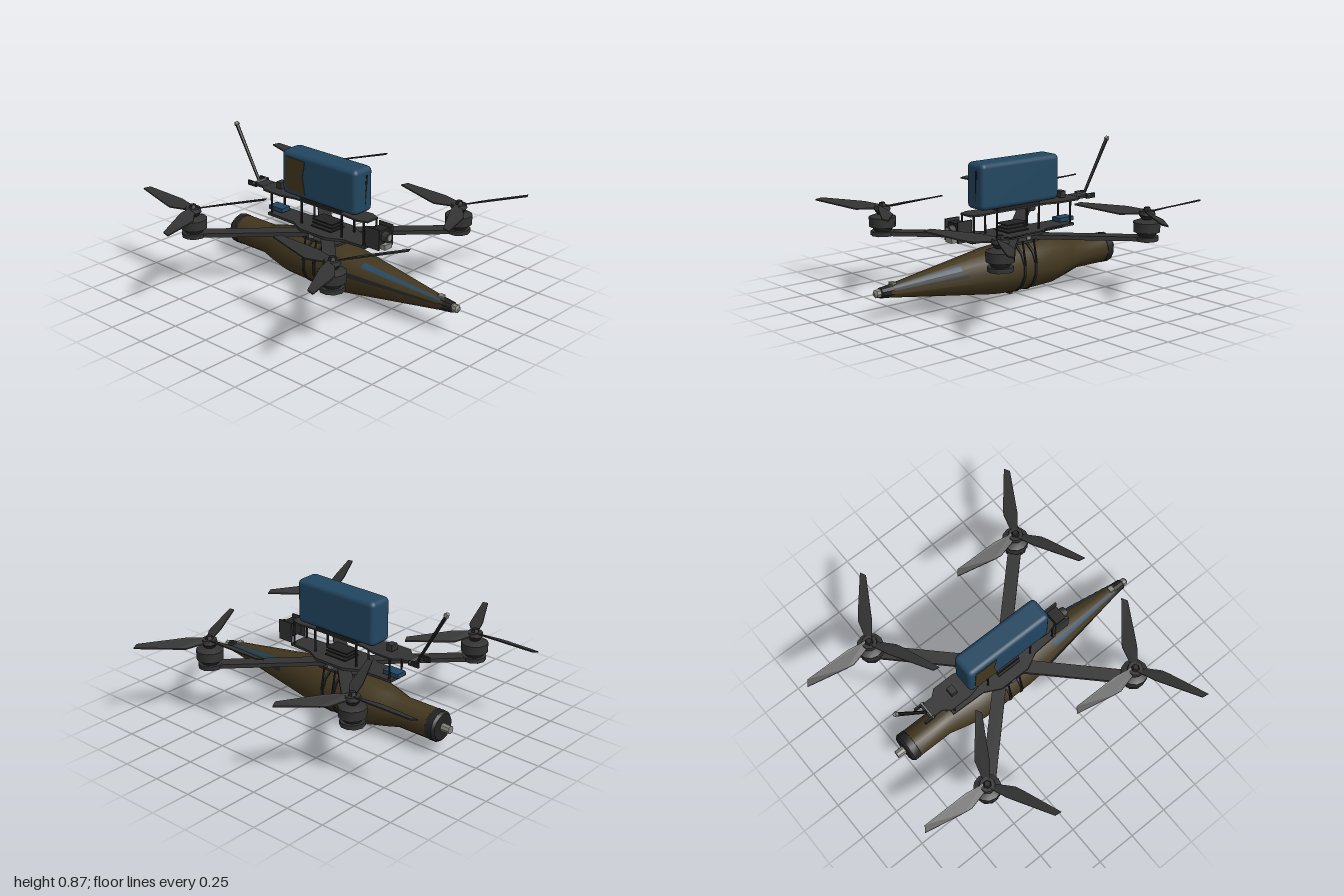
import * as THREE from 'three';
import { RoundedBoxGeometry } from 'three/addons/geometries/RoundedBoxGeometry.js';
import { toCreasedNormals } from 'three/addons/utils/BufferGeometryUtils.js';

const mat = (name, color, side = THREE.FrontSide) => {
  const m = new THREE.MeshStandardMaterial({ color, side });
  m.name = name;
  return m;
};

export function createModel() {
  const carbon = mat('carbon', 0x323233);
  const black = mat('black', 0x222223, THREE.DoubleSide);
  const olive = mat('olive', 0x42371f);
  const blue = mat('blue', 0x224660);
  const metal = mat('metal', 0x85857f);

  const model = new THREE.Group();
  model.name = 'quadcopter';
  model.position.x = -0.017;
  const root = new THREE.Group();
  root.name = 'parts';
  model.add(root);

  const add = (name, geo, material, x = 0, y = 0, z = 0, parent = root) => {
    const m = new THREE.Mesh(geo, material);
    m.name = name;
    m.position.set(x, y, z);
    parent.add(m);
    return m;
  };
  const box = (name, w, h, d, material, x, y, z, parent) =>
    add(name, new THREE.BoxGeometry(w, h, d), material, x, y, z, parent);
  const cyl = (name, rt, rb, h, n, material, x, y, z, parent) =>
    add(name, toCreasedNormals(new THREE.CylinderGeometry(rt, rb, h, n), 0.7), material, x, y, z, parent);
  // Thin rod between two points
  const rod = (name, a, b, ra, rb, material) => {
    const p = new THREE.Vector3(...a), q = new THREE.Vector3(...b), d = q.clone().sub(p);
    const m = cyl(name, rb, ra, d.length(), 6, material, ...p.clone().add(q).multiplyScalar(0.5).toArray());
    m.quaternion.setFromUnitVectors(new THREE.Vector3(0, 1, 0), d.normalize());
    return m;
  };
  // Horizontal plate from an outline of [x, z] points
  const plate = (name, pts, depth, material, y) => {
    const s = new THREE.Shape(pts.map(([x, z]) => new THREE.Vector2(x, -z)));
    return add(name, new THREE.ExtrudeGeometry(s, { depth, bevelEnabled: false }).rotateX(-Math.PI / 2), material, 0, y, 0);
  };
  const mirrorOutline = half => [...half, ...half.map(([x, z]) => [-x, z]).reverse()];

  // Payload: profiles of [radius, z], turned around the z axis
  const CY = 0.165;
  const turned = (name, profile, material, start = 0, sweep = 2 * Math.PI, n = 14) => {
    const g = new THREE.LatheGeometry(profile.map(p => new THREE.Vector2(...p)), n, start, sweep);
    return add(name, toCreasedNormals(g.rotateX(Math.PI / 2), 0.6), material, 0, CY, 0);
  };
  turned('payloadBody', [[0.092, -0.69], [0.092, -0.47], [0.115, -0.38], [0.145, -0.25], [0.15, -0.1],
    [0.15, 0.1], [0.143, 0.2], [0.036, 0.9]], olive);
  turned('payloadTail', [[0, -0.75], [0.08, -0.75], [0.094, -0.735], [0.094, -0.69], [0.088, -0.685]], black);
  turned('tailPin', [[0, -0.805], [0.024, -0.805], [0.026, -0.75]], metal, 0, 2 * Math.PI, 8);
  turned('noseCollar', [[0.04, 0.87], [0.031, 0.955], [0.026, 0.96]], black, 0, 2 * Math.PI, 10);
  turned('noseTip', [[0.026, 0.955], [0.024, 0.985], [0.012, 0.995], [0, 0.995]], metal, 0, 2 * Math.PI, 8);
  box('noseTab', 0.035, 0.012, 0.03, metal, 0, 0.208, 0.87);
  // Painted streaks along the nose cone
  for (const [name, m, start, sweep, z0] of [
    ['blueStreakLeft', blue, 0.68, 0.1, 0.45], ['blueStreakRight', blue, 1.16, 0.1, 0.35],
    ['darkStreakLeft', black, 0.55, 0.1, 0.42], ['darkStreakRight', black, 1.4, 0.07, 0.25]]) {
    const r = z => 0.143 - (z - 0.2) * 0.107 / 0.7 + 0.002;
    turned(name, [[r(z0), z0], [r(0.88), 0.88]], m, start * Math.PI, sweep * Math.PI, 3);
  }

  // Straps holding the payload to the frame
  for (const z of [0.035, -0.05]) {
    turned('payloadStrap', [[0.15, z - 0.009], [0.156, z - 0.009], [0.156, z + 0.009], [0.15, z + 0.009]], black);
    for (const s of [-1, 1])
      rod('strapSide', [s * 0.155, 0.2, z], [s * 0.125, 0.34, z], 0.006, 0.006, black);
  }
  box('strapClasp', 0.04, 0.012, 0.022, black, 0, 0.006, 0.035);

  // Frame plates
  plate('bottomPlate', mirrorOutline([[0.07, -0.42], [0.075, -0.2], [0.125, -0.1], [0.125, 0.1],
    [0.075, 0.2], [0.065, 0.36]]), 0.016, carbon, 0.36);
  plate('clampPlate', mirrorOutline([[0.08, -0.16], [0.12, -0.08], [0.12, 0.08], [0.08, 0.16]]), 0.014, carbon, 0.321);
  plate('topPlate', mirrorOutline([[0.05, -0.48], [0.085, -0.44], [0.085, -0.3], [0.06, -0.2], [0.06, 0.2],
    [0.07, 0.3], [0.045, 0.36]]), 0.01, carbon, 0.514);
  for (const s of [-1, 1]) {
    for (const z of [-0.4, -0.15, 0.17, 0.34])
      cyl('standoff', 0.007, 0.007, 0.145, 6, black, s * 0.055, 0.445, z);
    box('frameBolt', 0.012, 0.02, 0.03, metal, s * 0.124, 0.352, -0.01);
  }

  // Electronics between the plates
  for (const [y, w] of [[0.385, 0.12], [0.405, 0.1], [0.426, 0.1]])
    box('circuitBoard', w, 0.007, 0.16, black, 0, y, 0.01);
  box('receiver', 0.07, 0.025, 0.11, blue, 0, 0.395, -0.39);
  box('rearModule', 0.05, 0.04, 0.04, carbon, 0, 0.55, -0.37);

  // Camera
  for (const s of [-1, 1]) box('cameraMount', 0.01, 0.125, 0.1, carbon, s * 0.058, 0.44, 0.41);
  box('cameraBody', 0.09, 0.085, 0.07, black, 0, 0.445, 0.415);
  cyl('cameraLens', 0.03, 0.034, 0.04, 10, carbon, 0, 0.445, 0.465).rotation.x = Math.PI / 2;
  cyl('lensGlass', 0.02, 0.02, 0.006, 10, metal, 0, 0.445, 0.487).rotation.x = Math.PI / 2;
  box('cameraBracket', 0.06, 0.03, 0.04, metal, 0, 0.39, 0.46);

  // Rear antenna and its bracket
  box('antennaBracket', 0.1, 0.014, 0.09, carbon, 0, 0.518, -0.52);
  for (const s of [-1, 1]) box('bracketProng', 0.012, 0.03, 0.07, black, s * 0.05, 0.52, -0.57);
  box('bracketPin', 0.12, 0.01, 0.01, metal, 0, 0.53, -0.55);
  rod('antennaMast', [0, 0.52, -0.56], [0, 0.85, -0.75], 0.009, 0.012, black);
  rod('antennaTip', [0, 0.845, -0.745], [0, 0.86, -0.757], 0.018, 0.012, metal);

  // Battery with worn side panel and strap
  add('battery', new RoundedBoxGeometry(0.155, 0.275, 0.585, 2, 0.03), blue, 0, 0.677, 0);
  const patch = new THREE.Shape([[0.1, -0.105], [0.25, -0.105], [0.26, -0.06], [0.25, 0.105], [0.1, 0.1], [0.12, 0]]
    .map(p => new THREE.Vector2(...p)));
  add('wornPanel', new THREE.ExtrudeGeometry(patch, { depth: 0.004, bevelEnabled: false })
    .rotateY(Math.PI / 2), olive, -0.081, 0.677, 0);
  box('batteryPad', 0.11, 0.018, 0.32, black, 0, 0.532, 0);
  rod('batteryCable', [0.01, 0.58, 0.285], [0.02, 0.77, 0.292], 0.009, 0.007, black);

  // Propeller blade pointing to -z, pitched about its length
  const bladeShape = new THREE.Shape([[-0.018, 0.02], [-0.05, 0.15], [-0.044, 0.2], [0, 0.445], [0.034, 0.42],
    [0.034, 0.13], [0.018, 0.02]].map(p => new THREE.Vector2(...p)));
  const bladeGeo = new THREE.ExtrudeGeometry(bladeShape, { depth: 0.008, bevelEnabled: false })
    .rotateX(-Math.PI / 2);
  const bp = bladeGeo.attributes.position;
  for (let i = 0; i < bp.count; i++) {
    const x = bp.getX(i), t = -bp.getZ(i) / 0.445;
    bp.setY(i, bp.getY(i) + x * (0.45 - 0.25 * t) + 0.012 * t);
  }
  bladeGeo.computeVertexNormals();

  // Arms, motors and propellers at the four corners
  for (const sx of [-1, 1]) for (const sz of [-1, 1]) {
    const unit = new THREE.Group();
    unit.name = 'rotorUnit';
    unit.position.set(sx * 0.553, 0, sz * 0.553);
    root.add(unit);

    const arm = box('arm', 0.08, 0.025, 0.71, carbon, sx * 0.325, 0.348, sz * 0.325);
    arm.rotation.y = sx * sz * Math.PI / 4;
    cyl('armEnd', 0.072, 0.072, 0.026, 10, carbon, 0, 0.348, 0, unit);
    cyl('motorBase', 0.065, 0.05, 0.03, 12, black, 0, 0.374, 0, unit);
    cyl('motorBell', 0.082, 0.08, 0.058, 12, carbon, 0, 0.417, 0, unit);
    cyl('motorCap', 0.04, 0.078, 0.016, 12, carbon, 0, 0.454, 0, unit);
    cyl('motorNeck', 0.05, 0.03, 0.03, 10, black, 0, 0.475, 0, unit);
    cyl('propellerHub', 0.045, 0.05, 0.024, 10, carbon, 0, 0.5, 0, unit);
    cyl('propellerNut', 0.018, 0.026, 0.022, 6, black, 0, 0.521, 0, unit);
    for (let i = 0; i < 3; i++)
      add('blade', bladeGeo, carbon, 0, 0.499, 0, unit).rotation.y = i * 2 * Math.PI / 3;
  }
  return model;
}
